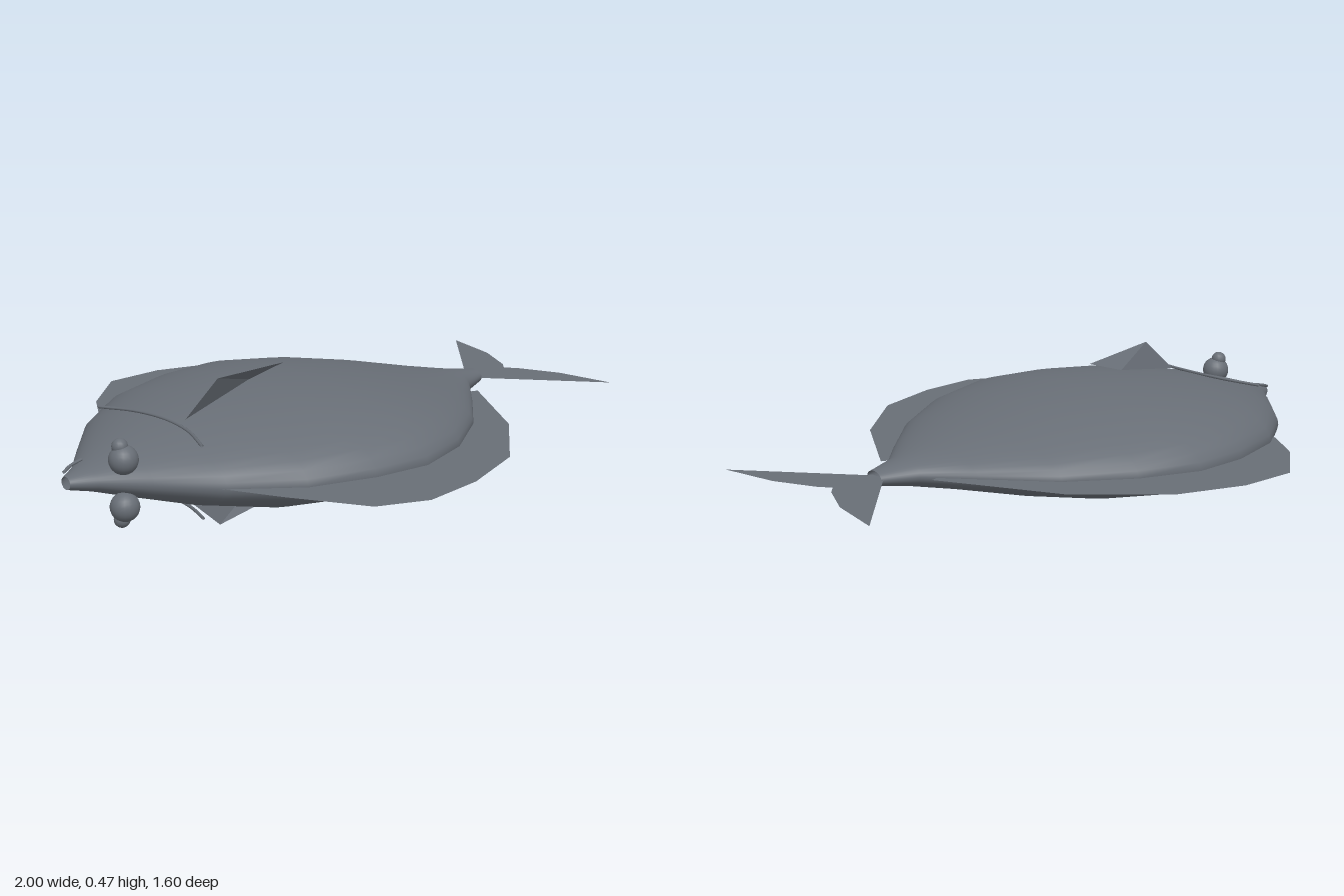
import * as THREE from 'three';

const MID = 0.236; // height of the body's middle plane

export function createModel() {
  const fish = new THREE.Group();
  fish.name = 'flatfish';
  const skin = new THREE.MeshStandardMaterial({ color: 0x686e76, side: THREE.DoubleSide });
  skin.name = 'slate grey skin';

  const add = (parent, name, geometry) => {
    const mesh = new THREE.Mesh(geometry, skin);
    mesh.name = name;
    parent.add(mesh);
    return mesh;
  };

  // Body: elliptical rings, each [x, z of one edge, z of other edge, half height]
  const rings = [
    [-1, -0.035, 0.01, 0.02], [-0.93, -0.09, 0.06, 0.037], [-0.82, -0.22, 0.18, 0.071],
    [-0.68, -0.38, 0.34, 0.11], [-0.49, -0.52, 0.485, 0.145], [-0.28, -0.59, 0.55, 0.161],
    [-0.09, -0.605, 0.57, 0.162], [0.11, -0.54, 0.505, 0.139], [0.31, -0.415, 0.37, 0.1],
    [0.48, -0.23, 0.2, 0.064], [0.6, -0.1, 0.07, 0.042], [0.71, -0.052, 0.02, 0.023],
  ];
  const SIDES = 40;
  const positions = [], index = [];
  rings.forEach(([x, z0, z1, h], i) => {
    for (let j = 0; j < SIDES; j++) {
      const a = (j / SIDES) * Math.PI * 2;
      positions.push(x, h * Math.cos(a), (z0 + z1) / 2 + ((z1 - z0) / 2) * Math.sin(a));
      if (i === rings.length - 1) continue;
      const p = i * SIDES + j, q = i * SIDES + (j + 1) % SIDES;
      index.push(p, q, p + SIDES, q, q + SIDES, p + SIDES);
    }
  });
  const bodyGeometry = new THREE.BufferGeometry();
  bodyGeometry.setAttribute('position', new THREE.Float32BufferAttribute(positions, 3));
  bodyGeometry.setIndex(index);
  bodyGeometry.computeVertexNormals();
  add(fish, 'body', bodyGeometry);

  // Flat fins in the middle plane, outlined as [x, z]
  const flatFin = (name, outline) => {
    const shape = new THREE.Shape(outline.map(([x, z]) => new THREE.Vector2(x, -z)));
    add(fish, name, new THREE.ShapeGeometry(shape).rotateX(-Math.PI / 2));
  };
  flatFin('dorsalFin', [
    [-0.57, -0.45], [-0.46, -0.63], [-0.28, -0.795], [-0.08, -0.8], [0.145, -0.73],
    [0.385, -0.52], [0.59, -0.145], [0.55, -0.13], [0.3, -0.38], [-0.1, -0.55], [-0.4, -0.5],
  ]);
  flatFin('analFin', [
    [-0.7, 0.31], [-0.6, 0.5], [-0.46, 0.73], [-0.3, 0.797], [-0.09, 0.77],
    [0.15, 0.68], [0.39, 0.45], [0.585, 0.122], [0.55, 0.11], [0.3, 0.34], [-0.1, 0.52], [-0.4, 0.48],
  ]);
  flatFin('tailFin', [
    [0.69, -0.05], [0.71, -0.06], [0.997, -0.39], [0.957, -0.19], [0.89, -0.05], [0.86, -0.015],
    [0.89, 0.02], [0.957, 0.16], [0.997, 0.358], [0.71, 0.03], [0.69, 0.02],
  ]);

  const line = (points) => new THREE.TubeGeometry(
    new THREE.CatmullRomCurve3(points.map((p) => new THREE.Vector3(...p))), 24, 0.005, 6);

  // Details repeated on both faces of the body
  for (const side of [1, -1]) {
    const face = new THREE.Group();
    face.name = side > 0 ? 'upperFace' : 'lowerFace';
    face.scale.y = side;
    fish.add(face);

    add(face, 'eye', new THREE.SphereGeometry(0.045, 20, 14)).position.set(-0.872, 0.073, 0.1);
    add(face, 'pupil', new THREE.SphereGeometry(0.025, 16, 10)).position.set(-0.878, 0.113, 0.092);

    add(face, 'gillSlit', line([
      [-0.695, 0.112, -0.275], [-0.65, 0.119, -0.15], [-0.635, 0.122, -0.015],
      [-0.65, 0.119, 0.12], [-0.695, 0.112, 0.245],
    ]));
    add(face, 'mouth', line([
      [-0.985, 0.022, -0.045], [-0.95, 0.033, -0.058], [-0.91, 0.042, -0.06],
    ]));

    // Pectoral fin: two flat triangles rising from the flank
    const root = [-0.605, 0.128, 0.05], top = [-0.487, 0.236, 0.06];
    const tip = [-0.175, 0.216, 0], rear = [-0.3, 0.18, -0.02];
    const fin = new THREE.BufferGeometry();
    fin.setAttribute('position', new THREE.Float32BufferAttribute(
      [root, top, rear, top, tip, rear].flat(), 3));
    fin.computeVertexNormals();
    add(face, 'pectoralFin', fin);
  }

  fish.position.y = MID;
  const model = new THREE.Group();
  model.add(fish);
  return model;
}
